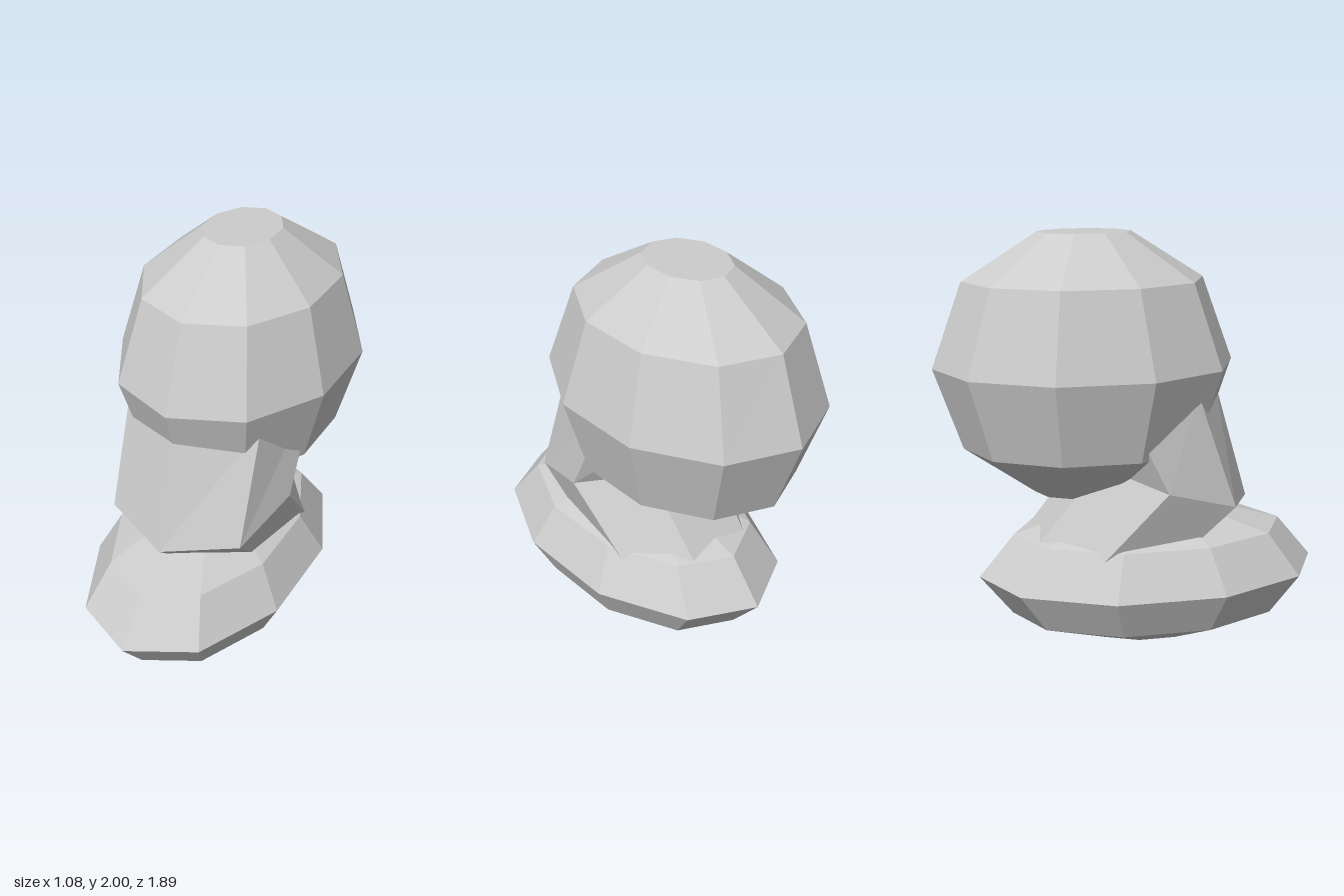
import * as THREE from 'three';

// Closed loft through elliptical rings, listed from bottom to top.
// ring: [centre y, centre z, radius x, radius z, rise of y per unit z]
function loft(sides, rings) {
  const point = ([cy, cz, rx, rz, tilt = 0], i) => {
    const a = (i % sides) / sides * Math.PI * 2;
    const dz = rz * Math.cos(a);
    return [rx * Math.sin(a), cy + tilt * dz, cz + dz];
  };
  const centre = ([cy, cz]) => [0, cy, cz];
  const pos = [];
  const tri = (...corners) => corners.forEach((c) => pos.push(...c));
  const first = rings[0];
  const last = rings[rings.length - 1];
  for (let i = 0; i < sides; i++) {
    tri(centre(first), point(first, i + 1), point(first, i));
    tri(centre(last), point(last, i), point(last, i + 1));
    for (let r = 0; r < rings.length - 1; r++) {
      const a = point(rings[r], i);
      const b = point(rings[r], i + 1);
      const c = point(rings[r + 1], i + 1);
      const d = point(rings[r + 1], i);
      tri(a, b, c);
      tri(a, c, d);
    }
  }
  const geometry = new THREE.BufferGeometry();
  geometry.setAttribute('position', new THREE.Float32BufferAttribute(pos, 3));
  geometry.computeVertexNormals();
  return geometry;
}

export function createModel() {
  const group = new THREE.Group();
  group.name = 'lowPolyLeg';
  const grey = new THREE.MeshStandardMaterial({ color: 0xcccccc, flatShading: true });
  grey.name = 'light grey';

  const add = (name, sides, rings) => {
    const mesh = new THREE.Mesh(loft(sides, rings), grey);
    mesh.name = name;
    group.add(mesh);
  };

  // Flattened ten-sided foot
  add('foot', 10, [
    [0.0, 0.1, 0.18, 0.29],
    [0.13, 0.095, 0.435, 0.69],
    [0.33, 0.095, 0.536, 0.85],
    [0.54, 0.095, 0.42, 0.675],
    [0.655, 0.095, 0.18, 0.285],
  ]);

  // Seven-sided bent shin, sunk into the foot and the thigh
  add('shin', 7, [
    [0.392, -0.2, 0.383, 0.355, -0.31],
    [0.797, 0.185, 0.443, 0.41, -0.31],
    [1.32, -0.047, 0.443, 0.477, -0.16],
  ]);

  // Large ten-sided thigh
  add('thigh', 10, [
    [0.75, -0.22, 0.18, 0.25],
    [0.985, -0.22, 0.46, 0.59],
    [1.375, -0.22, 0.567, 0.725],
    [1.778, -0.222, 0.452, 0.577],
    [2.0, -0.222, 0.178, 0.225],
  ]);

  return group;
}
